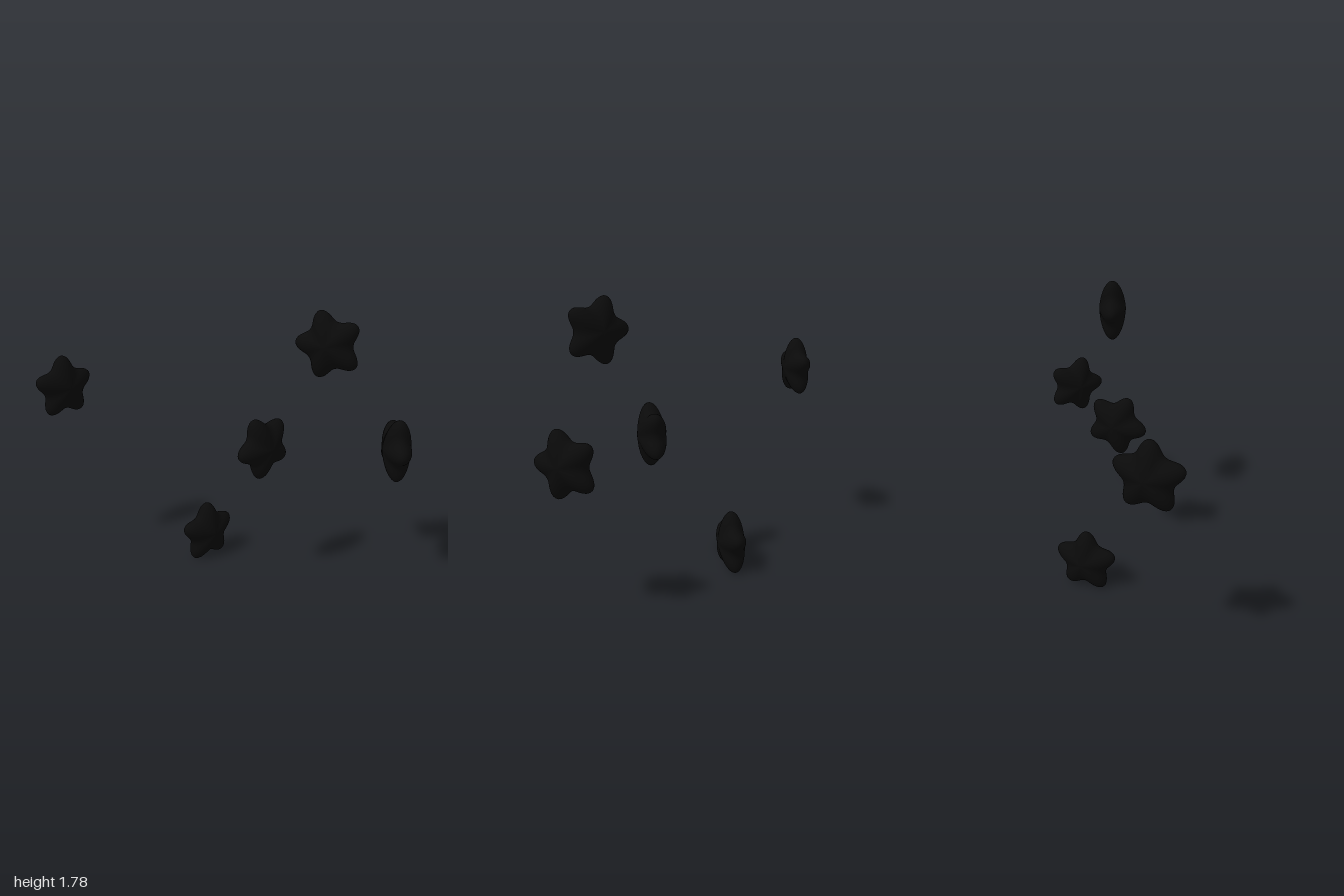
import * as THREE from 'three';
import { mergeVertices } from 'three/addons/utils/BufferGeometryUtils.js';

const deg = Math.PI / 180;

// Puffy five-armed star facing z with one arm up: a sphere reshaped by a star outline
function starGeometry(tip, valley, depth) {
  let geo = new THREE.SphereGeometry(1, 80, 24).rotateX(Math.PI / 2);
  geo.deleteAttribute('uv');
  geo.deleteAttribute('normal');
  geo = mergeVertices(geo, 1e-4);
  const p = geo.attributes.position;
  for (let i = 0; i < p.count; i++) {
    const x = p.getX(i), y = p.getY(i), z = p.getZ(i);
    const s = Math.min(1, Math.hypot(x, y));
    const a = Math.atan2(x, y);
    const r = valley + (tip - valley) * Math.pow((1 + Math.cos(5 * a)) / 2, 1.25);
    // rounded rim with a faint peak in the middle
    const h = depth * (0.87 * Math.abs(z) + 0.13 * (1 - s));
    p.setXYZ(i, x * r, y * r, Math.sign(z) * h);
  }
  geo.computeVertexNormals();
  return geo;
}

export function createModel() {
  const group = new THREE.Group();
  group.name = 'starCluster';
  const material = new THREE.MeshStandardMaterial({ color: 0x0a0a0a });
  const geo = starGeometry(0.205, 0.143, 0.0885);

  // name, centre, turn about y, roll in the star's own plane (degrees)
  const stars = [
    ['lowerStar', [0.075, 0.175, -0.263], 0, 0],
    ['backStar', [-0.582, 1.185, -0.91], 0, 0],
    ['middleStar', [0.083, 0.92, 0.252], 0, 25.5],
    ['upperStar', [0.258, 1.59, 0.595], -68.5, 90],
    ['frontStar', [0.65, 0.922, 0.83], 48.7, 90],
  ];
  for (const [name, centre, turn, roll] of stars) {
    const star = new THREE.Mesh(geo, material);
    star.name = name;
    star.position.set(...centre);
    star.rotation.set(0, turn * deg, roll * deg);
    group.add(star);
  }
  return group;
}
